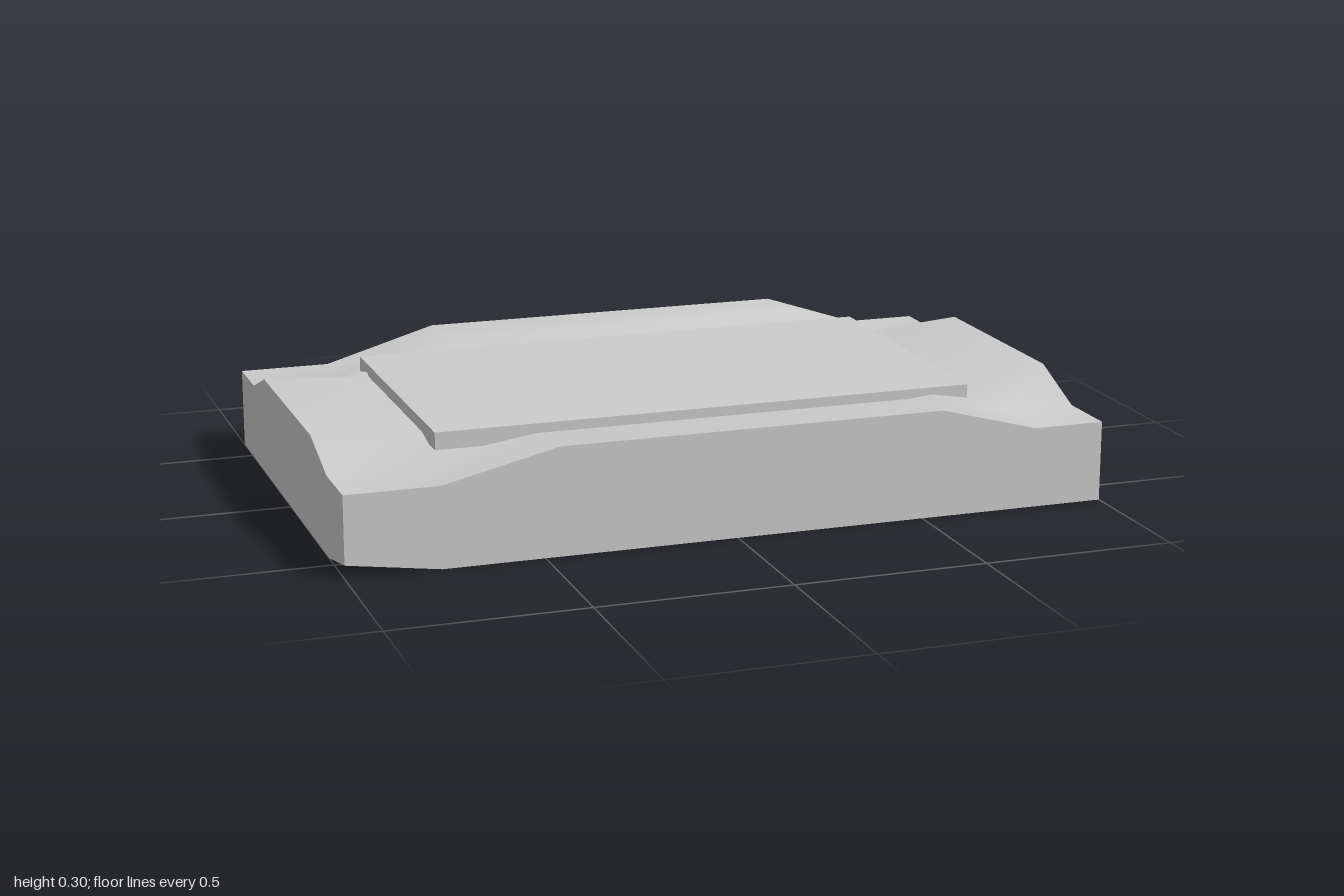
import * as THREE from 'three';

// Grid lines of the slab and the ground height at each crossing (rows run back to front)
const X = [-1, -0.76, -0.46, 0.55, 0.81, 1];
const Z = [-0.617, -0.45, -0.3, 0.27, 0.445, 0.617];
const H = [
  [0.21, 0.21, 0.297, 0.297, 0.21, 0.21],
  [0.21, 0.215, 0.297, 0.297, 0.215, 0.21],
  [0.265, 0.25, 0.24, 0.24, 0.265, 0.28],
  [0.265, 0.25, 0.24, 0.24, 0.265, 0.28],
  [0.21, 0.215, 0.26, 0.26, 0.215, 0.21],
  [0.21, 0.21, 0.28, 0.28, 0.21, 0.21],
];
const N = X.length - 1;

const topPoint = (i, j) => [X[i], H[j][i], Z[j]];
// The underside is flat except for one lifted corner
const bottomPoint = (i, j) => [X[i], i === 0 && j === N ? 0.035 : 0, Z[j]];

// Surface through rows of points, with smooth normals
function sheet(rows, flip) {
  const w = rows[0].length, index = [];
  for (let j = 0; j < rows.length - 1; j++) {
    for (let i = 0; i < w - 1; i++) {
      const a = j * w + i, b = a + 1, c = a + w, d = c + 1;
      index.push(...(flip ? [a, b, c, b, d, c] : [a, c, b, b, c, d]));
    }
  }
  const g = new THREE.BufferGeometry();
  g.setAttribute('position', new THREE.Float32BufferAttribute(rows.flat(2), 3));
  g.setIndex(index);
  g.computeVertexNormals();
  return g;
}

export function createModel() {
  const group = new THREE.Group();
  const material = new THREE.MeshStandardMaterial({ color: 0xcccccc });
  const steps = [...X.keys()];
  const add = (name, geometry) => {
    const mesh = new THREE.Mesh(geometry, material);
    mesh.name = name;
    group.add(mesh);
    return mesh;
  };

  // Uneven ground and underside
  add('ground', sheet(steps.map(j => steps.map(i => topPoint(i, j))), false));
  add('underside', sheet(steps.map(j => steps.map(i => bottomPoint(i, j))), true));

  // Four upright walls, each following the ground's edge
  const walls = {
    frontWall: k => [k, N],
    backWall: k => [N - k, 0],
    leftWall: k => [N, N - k],
    rightWall: k => [0, k],
  };
  for (const [name, at] of Object.entries(walls)) {
    add(name, sheet([steps.map(k => topPoint(...at(k))), steps.map(k => bottomPoint(...at(k)))], false));
  }

  // Flat plate sunk into the ground
  add('plate', new THREE.BoxGeometry(1.434, 0.045, 0.8)).position.set(0, 0.2575, 0);
  return group;
}
